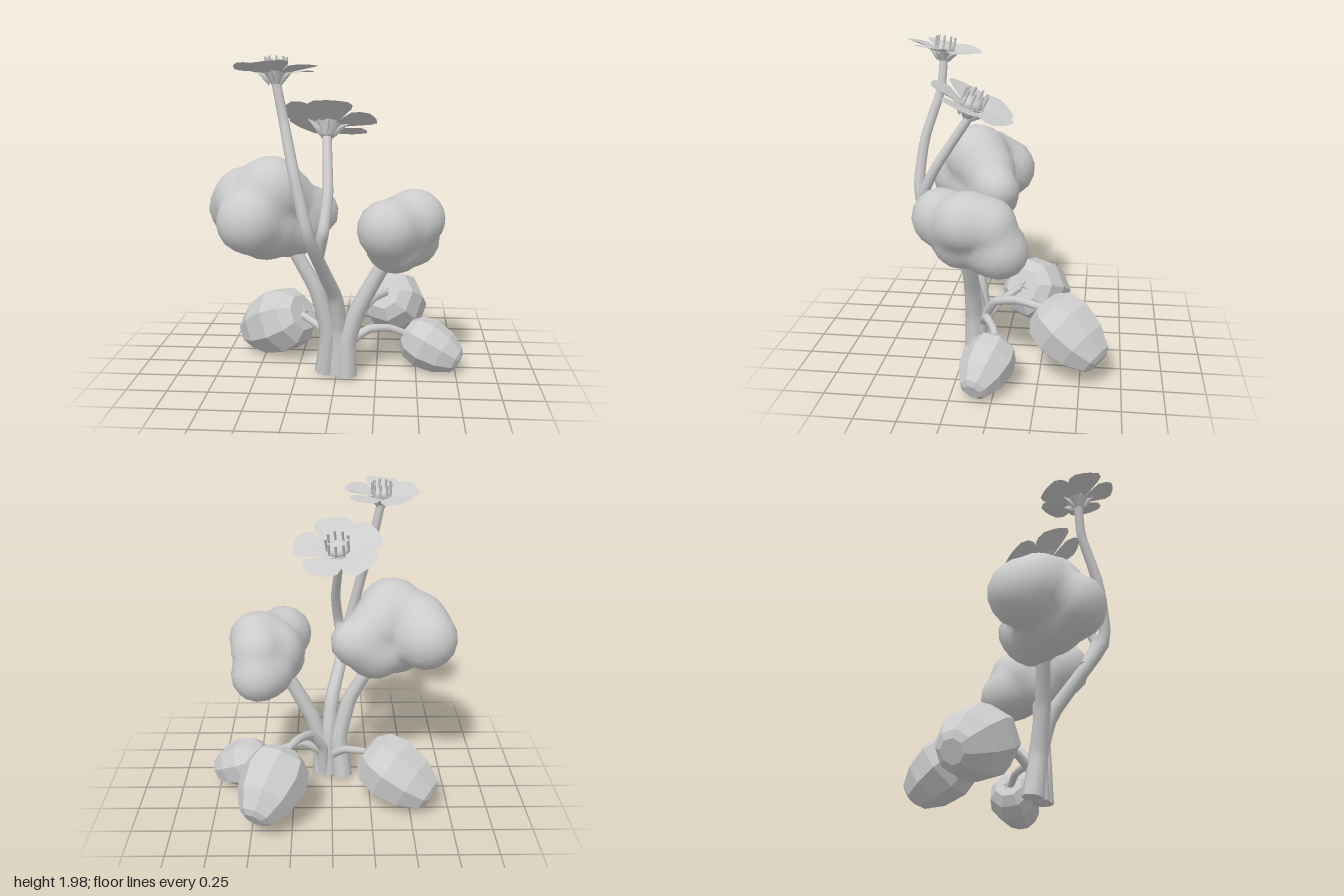
import * as THREE from 'three';
import { mergeVertices } from 'three/addons/utils/BufferGeometryUtils.js';

const V = (p) => new THREE.Vector3(...p);
const UP = new THREE.Vector3(0, 1, 0);
const plantGrey = new THREE.MeshStandardMaterial({ color: 0xcccccc, side: THREE.DoubleSide });
plantGrey.name = 'plantGrey';

function mesh(name, geometry, parent) {
  const m = new THREE.Mesh(geometry, plantGrey);
  m.name = name;
  parent.add(m);
  return m;
}

// Facet a geometry by giving every triangle its own normals
function faceted(geometry) {
  const g = geometry.toNonIndexed();
  g.computeVertexNormals();
  return g;
}

// Tapered tube bending through a few points, closed at its foot
function stem(name, points, r0, r1, parent) {
  const curve = new THREE.CatmullRomCurve3(points.map(V), false, 'catmullrom', 0.25);
  const segments = 24, sides = 8;
  const g = new THREE.TubeGeometry(curve, segments, 1, sides);
  const pos = g.attributes.position, v = new THREE.Vector3();
  for (let i = 0; i <= segments; i++) {
    const c = curve.getPointAt(i / segments);
    const r = THREE.MathUtils.lerp(r0, r1, Math.pow(i / segments, 0.7));
    for (let j = 0; j <= sides; j++) {
      const k = i * (sides + 1) + j;
      v.fromBufferAttribute(pos, k).sub(c).multiplyScalar(r).add(c);
      pos.setXYZ(k, v.x, v.y, v.z);
    }
  }
  mesh(name, g, parent);
  const foot = mesh(name + 'Foot', new THREE.CircleGeometry(r0, sides), parent);
  foot.position.copy(V(points[0]));
  foot.quaternion.setFromUnitVectors(new THREE.Vector3(0, 0, 1), curve.getTangentAt(0).negate());
}

// Rounded leaf clump: a sphere pushed out to the soft union of several balls
function leafClump(name, centre, balls, parent) {
  const g0 = new THREE.IcosahedronGeometry(1, 5);
  g0.deleteAttribute('normal');
  g0.deleteAttribute('uv');
  const g = mergeVertices(g0, 1e-4);
  const pos = g.attributes.position, d = new THREE.Vector3(), c = V(centre);
  for (let i = 0; i < pos.count; i++) {
    d.fromBufferAttribute(pos, i).normalize();
    let sum = 0;
    for (const [x, y, z, r] of balls) {
      const o = new THREE.Vector3(x, y, z).sub(c);
      const b = o.dot(d), disc = b * b - o.lengthSq() + r * r;
      if (disc > 0) sum += Math.pow(Math.max(0, b + Math.sqrt(disc)), 24);
    }
    d.multiplyScalar(Math.pow(sum, 1 / 24)).add(c);
    pos.setXYZ(i, d.x, d.y, d.z);
  }
  g.computeVertexNormals();
  mesh(name, g, parent);
}

// Faceted fruit pointing along dir, with a small calyx at its blunt end
function berry(name, centre, dir, length, radius, parent) {
  const group = new THREE.Group();
  group.name = name;
  const profile = [[0, 0], [0, 0.55], [0.13, 0.87], [0.38, 1], [0.7, 0.85], [0.95, 0.52], [1, 0.32], [1, 0]]
    .map(([t, r]) => new THREE.Vector2(r * radius, (t - 0.5) * length));
  mesh('fruit', faceted(new THREE.LatheGeometry(profile, 8)), group);
  for (let i = 0; i < 5; i++) {
    const sepal = mesh('sepal', new THREE.ConeGeometry(0.014, 0.055, 4), group);
    const a = (i / 5) * Math.PI * 2;
    sepal.position.set(Math.cos(a) * 0.025, -length / 2 - 0.008, Math.sin(a) * 0.025);
    sepal.quaternion.setFromUnitVectors(UP, new THREE.Vector3(Math.cos(a), 0.1, Math.sin(a)).normalize());
  }
  group.position.copy(V(centre));
  group.quaternion.setFromUnitVectors(UP, V(dir).normalize());
  parent.add(group);
}

// Five-petalled flower; start is the angle of the first petal in degrees
function flower(name, centre, normal, scale, start, parent) {
  const group = new THREE.Group();
  group.name = name;
  const half = [[0.03, 0.025], [0.09, 0.07], [0.15, 0.108], [0.2, 0.112], [0.238, 0.085], [0.25, 0.02]];
  const outline = [...half, ...half.map(([x, y]) => [x, -y]).reverse()];
  const petalGeo = new THREE.ShapeGeometry(new THREE.Shape(outline.map((p) => new THREE.Vector2(...p))));
  petalGeo.rotateX(-Math.PI / 2);
  // Dip the petal toward the cup
  const pos = petalGeo.attributes.position;
  for (let i = 0; i < pos.count; i++) pos.setY(i, -0.045 * Math.max(0, 1 - pos.getX(i) / 0.15));
  petalGeo.computeVertexNormals();
  for (let i = 0; i < 5; i++) {
    const spin = new THREE.Group();
    spin.name = 'petalArm';
    spin.rotation.y = THREE.MathUtils.degToRad(start + i * 72);
    mesh('petal', petalGeo, spin).rotation.set(0.08, 0, 0.03);
    // Sepal hugging the petal from beneath
    const sepal = mesh('sepal', new THREE.ConeGeometry(0.035, 0.1, 4), spin);
    sepal.scale.z = 0.25;
    sepal.rotation.set(0, 0, -1.1);
    sepal.position.set(0.07, -0.045, 0);
    group.add(spin);
  }
  mesh('cup', new THREE.CylinderGeometry(0.075, 0.028, 0.075, 10), group).position.y = -0.055;
  const heart = mesh('heart', new THREE.SphereGeometry(0.066, 12, 8), group);
  heart.scale.y = 0.6;
  heart.position.y = -0.012;
  for (let i = 0; i < 9; i++) {
    const a = (i / 9) * Math.PI * 2;
    const stamen = mesh('stamen', new THREE.CylinderGeometry(0.008, 0.006, 0.085, 5), group);
    stamen.position.set(Math.cos(a) * 0.064, 0.025, Math.sin(a) * 0.064);
  }
  group.position.copy(V(centre));
  group.quaternion.setFromUnitVectors(UP, V(normal).normalize());
  group.scale.setScalar(scale);
  parent.add(group);
}

export function createModel() {
  const plant = new THREE.Group();
  plant.name = 'berryPlant';

  // Thick stems
  stem('rightLeafStem', [[-0.075, 0.03, 0.135], [-0.05, 0.3, 0.17], [-0.12, 0.58, 0.2], [-0.25, 0.82, 0.2], [-0.32, 0.95, 0.2]], 0.066, 0.04, plant);
  stem('leftLeafStem', [[0.065, 0.03, 0.2], [0.07, 0.25, 0.2], [0.13, 0.45, 0.2], [0.25, 0.68, 0.2], [0.35, 0.85, 0.2]], 0.064, 0.045, plant);
  stem('flowerStem', [[0.01, 0.03, 0.18], [0.02, 0.3, 0.18], [0, 0.55, 0.25], [-0.06, 0.75, 0.4], [-0.13, 1, 0.585],
    [-0.21, 1.35, 0.555], [-0.28, 1.66, 0.455], [-0.32, 1.86, 0.44]], 0.058, 0.027, plant);
  stem('flowerBranch', [[-0.09, 0.85, 0.47], [-0.05, 1.02, 0.54], [-0.03, 1.23, 0.44], [-0.05, 1.53, 0.24]], 0.038, 0.028, plant);

  // Thin stems to the fruit
  stem('rightBerryStem', [[-0.01, 0.05, 0.17], [-0.02, 0.2, 0.13], [-0.1, 0.28, 0.05], [-0.24, 0.33, -0.07]], 0.035, 0.022, plant);
  stem('backBerryStem', [[0.05, 0.05, 0.17], [0.06, 0.25, 0.13], [0.14, 0.39, 0.05], [0.22, 0.44, -0.1], [0.3, 0.435, -0.26]], 0.04, 0.024, plant);
  stem('leftBerryStem', [[0.06, 0.05, 0.17], [0.08, 0.22, 0.14], [0.2, 0.3, 0.1], [0.33, 0.29, 0.04], [0.45, 0.24, 0.01]], 0.035, 0.022, plant);

  // Fruit
  berry('rightBerry', [-0.435, 0.233, -0.19], [-0.79, -0.43, -0.43], 0.5, 0.222, plant);
  berry('backBerry', [0.38, 0.305, -0.44], [0.39, -0.55, -0.74], 0.47, 0.212, plant);
  berry('leftBerry', [0.605, 0.175, 0.053], [0.87, -0.4, 0.29], 0.38, 0.165, plant);

  // Leaf clumps: balls are x, y, z, radius
  leafClump('rightLeafClump', [-0.41, 1.06, 0.2], [
    [-0.39, 1.2, 0.24, 0.215], [-0.6, 1.07, 0.07, 0.2], [-0.55, 1.14, 0.17, 0.2],
    [-0.5, 1.04, 0.37, 0.195], [-0.42, 1, 0.23, 0.22], [-0.28, 0.96, 0.14, 0.185],
    [-0.3, 1.13, 0.16, 0.185], [-0.21, 1.01, 0.1, 0.16], [-0.135, 1.05, 0.075, 0.145]], plant);
  leafClump('leftLeafClump', [0.41, 0.95, 0.15], [
    [0.315, 1, 0.35, 0.182], [0.42, 1, 0.22, 0.185], [0.47, 1.03, 0.16, 0.18], [0.49, 1.03, 0.19, 0.165],
    [0.47, 1.01, 0.05, 0.17], [0.38, 0.96, 0.15, 0.2], [0.36, 0.89, 0.22, 0.185],
    [0.42, 0.87, 0.04, 0.18], [0.47, 0.86, -0.02, 0.168]], plant);

  // Flowers
  flower('tallFlower', [-0.32, 1.93, 0.43], [0, 1, -0.17], 0.95, -95, plant);
  flower('lowFlower', [-0.04, 1.63, 0.21], [0.08, 0.87, -0.42], 1.13, -85, plant);

  return plant;
}
